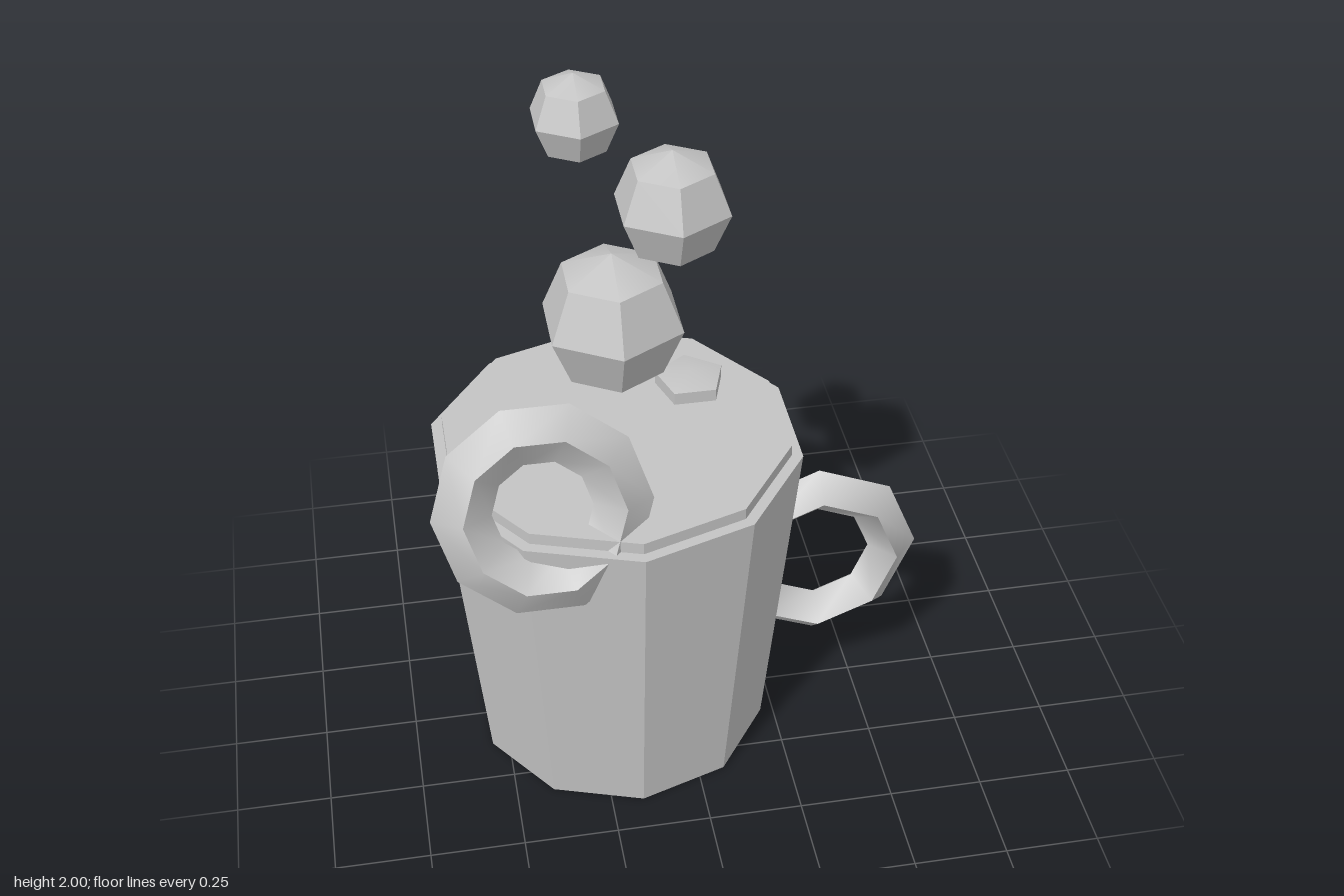
import * as THREE from 'three';
import { toCreasedNormals } from 'three/addons/utils/BufferGeometryUtils.js';

const CREASE = 0.58; // keeps the wall facets sharp, softens the rings and caps
const CUP_X = -0.165;

export function createModel() {
  const group = new THREE.Group();
  const gray = new THREE.MeshStandardMaterial({ color: 0xc4c4c4 });
  gray.name = 'clay gray';

  function add(name, geometry, x, y, z) {
    const mesh = new THREE.Mesh(toCreasedNormals(geometry, CREASE), gray);
    mesh.name = name;
    mesh.position.set(x, y, z);
    group.add(mesh);
    return mesh;
  }

  // Tapered ten-sided cup and the disc filling its top
  add('cup', new THREE.CylinderGeometry(0.49, 0.4, 0.925, 10), CUP_X, 0.4625, 0);
  add('topDisc', new THREE.CylinderGeometry(0.46, 0.46, 0.06, 10), CUP_X, 0.927, 0);

  // Handle ring sunk into the cup's left wall
  add('handle', new THREE.TorusGeometry(0.215, 0.067, 4, 8), 0.386, 0.465, 0);

  // Ring slice leaning back on the front rim
  const slice = add('rimRing', new THREE.TorusGeometry(0.2, 0.075, 4, 10), -0.395, 1.005, 0.345);
  slice.rotation.x = -0.35;

  // Small flattened five-sided piece on the disc
  const piece = new THREE.SphereGeometry(0.109, 5, 3).rotateY(-Math.PI / 2).scale(1, 0.33, 1);
  add('floatingPiece', piece, 0.061, 0.974, -0.158);

  // Rising steam puffs: radius, x, y
  [[0.19, CUP_X, 1.31], [0.152, -0.013, 1.622], [0.112, -0.245, 1.888]].forEach(([r, x, y], i) => {
    add('steamPuff' + (i + 1), new THREE.SphereGeometry(r, 6, 4).rotateY(Math.PI / 2), x, y, 0);
  });

  return group;
}
